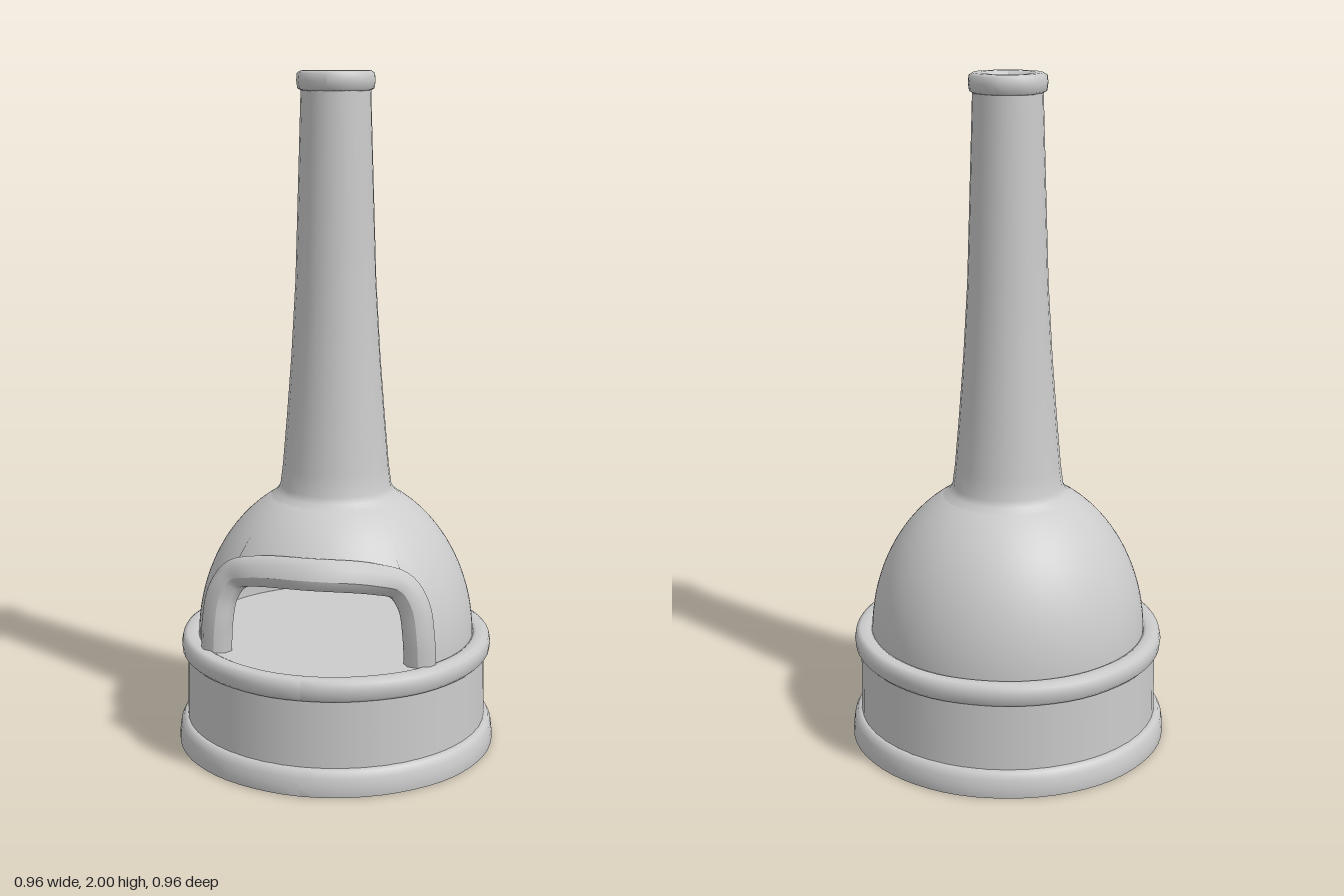
import * as THREE from 'three';

const material = new THREE.MeshStandardMaterial({ color: 0xcccccc, side: THREE.DoubleSide });

const BASE = 0.325, DOME_TOP = 0.77, DOME_R = 0.415, DOME_H = 0.49;
const domeRadius = y => DOME_R * Math.sqrt(1 - ((y - BASE) / DOME_H) ** 2);

function addMesh(group, name, geometry) {
  const mesh = new THREE.Mesh(geometry, material);
  mesh.name = name;
  group.add(mesh);
  return mesh;
}

const lathe = (profile, segments) =>
  new THREE.LatheGeometry(profile.map(([r, y]) => new THREE.Vector2(r, y)), segments);

// Gentle hand-shaped unevenness around a clay ring
function wobble(geometry, amount, phase) {
  const p = geometry.attributes.position;
  for (let i = 0; i < p.count; i++) {
    const a = Math.atan2(p.getX(i), p.getZ(i));
    const k = 1 + amount * (Math.sin(7 * a + phase) + 0.6 * Math.sin(13 * a + 2 * phase));
    p.setX(i, p.getX(i) * k);
    p.setZ(i, p.getZ(i) * k);
  }
  geometry.computeVertexNormals();
  return geometry;
}

// Dome whose lower edge is lifted over the mouth
function domeGeometry() {
  const rows = Array.from({ length: 21 }, (_, i) => [1, i / 20]);
  const g = lathe(rows, 96);
  const p = g.attributes.position, n = g.attributes.normal;
  const v = new THREE.Vector3();
  for (let i = 0; i < p.count; i++) {
    const a = Math.atan2(p.getX(i), p.getZ(i));
    const low = Math.abs(a) < 0.8 ? 0.56 + 0.04 * Math.cos(2 * a) : BASE;
    const y = low + (DOME_TOP - low) * p.getY(i);
    const r = domeRadius(y);
    p.setXYZ(i, r * Math.sin(a), y, r * Math.cos(a));
    v.set(p.getX(i) / DOME_R ** 2, (y - BASE) / DOME_H ** 2, p.getZ(i) / DOME_R ** 2).normalize();
    n.setXYZ(i, v.x, v.y, v.z);
  }
  return g;
}

// Flattened clay roll that follows the edge of the mouth, tilted with the dome at the top
function mouthGeometry() {
  const half = [[0.302, 0.338, 0.258], [0.298, 0.42, 0.26], [0.282, 0.51, 0.254],
    [0.242, 0.568, 0.256], [0.165, 0.594, 0.288]];
  const points = [
    ...half.map(([x, y, z]) => new THREE.Vector3(-x, y, z)),
    new THREE.Vector3(0, 0.606, 0.324),
    ...half.reverse().map(([x, y, z]) => new THREE.Vector3(x, y, z)),
  ];
  const curve = new THREE.CatmullRomCurve3(points);
  const steps = 60, sides = 8;
  const g = new THREE.TubeGeometry(curve, steps, 0.047, sides);
  const p = g.attributes.position;
  for (let i = 0; i < p.count; i++) {
    const c = curve.getPointAt(Math.floor(i / (sides + 1)) / steps);
    const lean = -0.25 * (p.getY(i) - c.y) * THREE.MathUtils.smoothstep(c.z, 0.26, 0.31);
    p.setZ(i, c.z + (p.getZ(i) - c.z) * 0.68 + lean);
  }
  g.computeVertexNormals();
  return g;
}

export function createModel() {
  const group = new THREE.Group();
  group.name = 'chimneyOven';

  // Hollow drum, open underneath, with a foot that flares to a thin edge
  addMesh(group, 'drumWall', lathe([[0.453, 0.04], [0.449, 0.31]], 48));
  addMesh(group, 'footRing', wobble(lathe([[0.474, 0], [0.479, 0.002], [0.478, 0.03],
    [0.474, 0.055], [0.465, 0.073], [0.452, 0.079], [0.444, 0.072], [0.447, 0.045], [0.46, 0.02], [0.474, 0]], 64), 0.0015, 1));
  addMesh(group, 'rimRing', wobble(lathe([[0.415, 0.285], [0.435, 0.276], [0.454, 0.277], [0.464, 0.287],
    [0.467, 0.312], [0.463, 0.333], [0.45, 0.341], [0.425, 0.341], [0.41, 0.333], [0.408, 0.305], [0.415, 0.285]], 64), 0.002, 2.3));

  // Oven floor, flush with the rim
  const floor = addMesh(group, 'ovenFloor', new THREE.CircleGeometry(0.425, 48));
  floor.rotation.x = -Math.PI / 2;
  floor.position.y = 0.336;

  // Dome with its mouth
  addMesh(group, 'dome', domeGeometry());
  addMesh(group, 'mouthFrame', mouthGeometry());

  // Tapered chimney, flaring into the dome, and its lip
  addMesh(group, 'chimney', lathe([[0.196, 0.757], [0.177, 0.772], [0.166, 0.79], [0.158, 0.85], [0.145, 1.0],
    [0.131, 1.18], [0.118, 1.4], [0.11, 1.65], [0.1, 1.97]], 24));
  addMesh(group, 'chimneyLip', wobble(lathe([[0.07, 1.948], [0.1, 1.944], [0.11, 1.95], [0.113, 1.972],
    [0.111, 1.993], [0.1, 2], [0.078, 2], [0.064, 1.99], [0.06, 1.97], [0.07, 1.948]], 32), 0.012, 0.6));

  return group;
}
